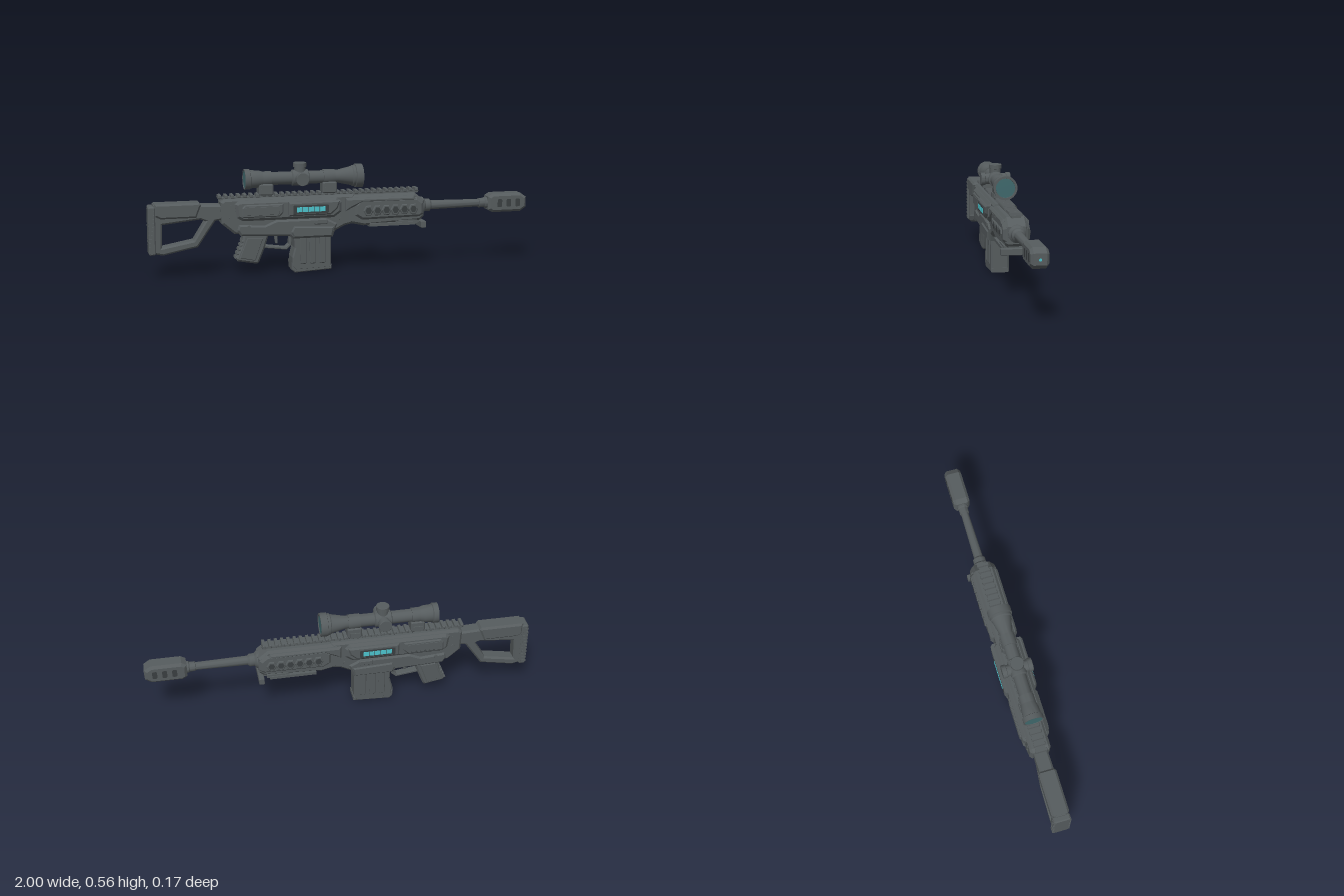
import * as THREE from 'three';
import { toCreasedNormals } from 'three/addons/utils/BufferGeometryUtils.js';

const mat = (name, color) => Object.assign(new THREE.MeshStandardMaterial({ color }), { name });

export function createModel() {
  const model = new THREE.Group();
  model.name = 'rifle';
  const metal = mat('gunmetal', 0x565c5e);
  const dark = mat('dark recess', 0x3a3f41);
  const lens = mat('lens glass', 0x40696d);
  const glow = mat('cyan glow', 0x4cc3cc);

  const add = (name, geo, m = metal) => {
    const mesh = new THREE.Mesh(geo, m);
    mesh.name = name;
    model.add(mesh);
    return mesh;
  };
  const vecs = pts => pts.map(([x, y]) => new THREE.Vector2(x, y));
  // side outline extruded symmetrically to z = +-half with chamfered edges
  const plate = (name, pts, half, b = 0.008, hole = null, m = metal) => {
    const shape = new THREE.Shape(vecs(pts));
    if (hole) shape.holes.push(new THREE.Path(vecs(hole)));
    const geo = new THREE.ExtrudeGeometry(shape, {
      depth: 2 * (half - b), bevelEnabled: b > 0, bevelThickness: b, bevelSize: b, bevelOffset: -b, bevelSegments: 1,
    });
    geo.translate(0, 0, -(half - b));
    return add(name, geo, m);
  };
  const rect = (x0, y0, x1, y1, c = 0) => c
    ? [[x0 + c, y0], [x1 - c, y0], [x1, y0 + c], [x1, y1 - c], [x1 - c, y1], [x0 + c, y1], [x0, y1 - c], [x0, y0 + c]]
    : [[x0, y0], [x1, y0], [x1, y1], [x0, y1]];
  const box = (name, x0, x1, y0, y1, z0, z1, m = metal) => {
    const geo = new THREE.BoxGeometry(x1 - x0, y1 - y0, z1 - z0);
    geo.translate((x0 + x1) / 2, (y0 + y1) / 2, (z0 + z1) / 2);
    return add(name, geo, m);
  };
  // turned part along x from [x, radius] pairs
  const turned = (name, pts, y, m = metal, seg = 28) => {
    const geo = new THREE.LatheGeometry(pts.map(([x, r]) => new THREE.Vector2(r, x)), seg);
    geo.rotateZ(-Math.PI / 2).translate(0, y, 0);
    return add(name, toCreasedNormals(geo, 0.5), m);
  };

  // shoulder stock
  plate('stock', [[-0.975, 0.13], [-0.93, 0.12], [-0.755, 0.155], [-0.665, 0.285], [-0.62, 0.29], [-0.62, 0.365], [-0.735, 0.37],
    [-0.75, 0.38], [-0.975, 0.38]], 0.036, 0.009, [[-0.935, 0.16], [-0.775, 0.19], [-0.715, 0.285], [-0.74, 0.295], [-0.93, 0.275]]);
  plate('cheekRest', [[-0.968, 0.32], [-0.94, 0.305], [-0.76, 0.305], [-0.735, 0.37], [-0.745, 0.382], [-0.968, 0.382]], 0.045, 0.01);
  plate('buttPlate', rect(-1, 0.125, -0.965, 0.37, 0.006), 0.043, 0.006);
  for (let i = 0; i < 11; i++) box('buttRib', -1, -0.972, 0.14 + i * 0.02, 0.15 + i * 0.02, -0.045, 0.045);

  // receiver and lower housing
  plate('receiver', [[-0.635, 0.27], [-0.57, 0.215], [-0.28, 0.2], [-0.07, 0.2], [0.0, 0.235], [0.05, 0.245], [0.05, 0.395],
    [-0.62, 0.395], [-0.64, 0.38]], 0.053, 0.012);
  plate('lowerHousing', [[-0.56, 0.235], [-0.54, 0.205], [-0.29, 0.195], [-0.275, 0.18], [-0.065, 0.18], [-0.04, 0.25],
    [-0.1, 0.28], [-0.36, 0.28], [-0.42, 0.255], [-0.55, 0.265]], 0.062, 0.01);
  plate('magazineWell', [[-0.285, 0.215], [-0.27, 0.185], [-0.07, 0.185], [-0.06, 0.235], [-0.27, 0.245]], 0.069, 0.008);
  plate('upperPanel', [[-0.56, 0.3], [-0.53, 0.282], [-0.06, 0.282], [-0.02, 0.31], [-0.02, 0.36], [-0.045, 0.385],
    [-0.55, 0.385], [-0.57, 0.37]], 0.069, 0.014);
  plate('rearPanel', [[-0.535, 0.3], [-0.345, 0.3], [-0.325, 0.32], [-0.325, 0.365], [-0.52, 0.365], [-0.535, 0.35]], 0.076, 0.006);
  plate('rearPanelInset', rect(-0.52, 0.312, -0.345, 0.353, 0.006), 0.0775, 0.001);
  plate('displayFrame', [[-0.3, 0.3], [-0.08, 0.3], [-0.045, 0.33], [-0.03, 0.372], [-0.3, 0.372]], 0.084, 0.009);
  plate('displayRecess', rect(-0.277, 0.311, -0.093, 0.355, 0.004), 0.0848, 0, null, dark);
  for (let i = 0; i < 5; i++) {
    const x = -0.258 + i * 0.03;
    for (const s of [-1, 1]) box('displayCell', x, x + 0.027, 0.321, 0.346, s * 0.0855 - 0.001, s * 0.0855 + 0.001, glow);
  }
  plate('boltCatch', rect(-0.165, 0.25, -0.095, 0.276, 0.004), 0.068, 0.004);
  for (const [x, y] of [[-0.59, 0.355], [-0.59, 0.3], [-0.5, 0.25], [-0.02, 0.27], [0.02, 0.36]]) {
    const pin = new THREE.CylinderGeometry(0.009, 0.009, 0.128 - (x === -0.5 ? 0 : 0.016), 10);
    pin.rotateX(Math.PI / 2).translate(x, y, 0);
    add('pin', toCreasedNormals(pin, 0.7));
  }

  // handguard with hexagonal vents
  plate('handguard', [[0.01, 0.25], [0.1, 0.23], [0.4, 0.245], [0.425, 0.265], [0.425, 0.35], [0.375, 0.39], [0.01, 0.39]], 0.055, 0.012);
  plate('handguardSide', [[0.05, 0.285], [0.09, 0.26], [0.4, 0.265], [0.42, 0.28], [0.42, 0.34], [0.385, 0.37], [0.08, 0.37],
    [0.05, 0.345]], 0.067, 0.014);
  plate('handguardBrow', [[0.0, 0.31], [0.03, 0.325], [0.09, 0.352], [0.38, 0.352], [0.365, 0.378], [0.0, 0.378]], 0.07, 0.01);
  for (let i = 0; i < 6; i++) {
    const x = 0.12 + i * 0.048;
    const hex = r => Array.from({ length: 6 }, (_, k) => [x + r * Math.cos(k * Math.PI / 3), 0.31 + r * 1.1 * Math.sin(k * Math.PI / 3)]);
    plate('ventRim', hex(0.027), 0.074, 0.004);
    plate('ventFace', hex(0.017), 0.0745, 0, null, dark);
  }

  // folded support under the handguard
  box('supportMount', 0.13, 0.2, 0.222, 0.26, -0.045, 0.045);
  for (const s of [-1, 1]) {
    box('supportLeg', 0.13, 0.37, 0.226, 0.241, s * 0.055 - 0.011, s * 0.055 + 0.011);
    box('supportFoot', 0.27, 0.385, 0.232, 0.25, s * 0.052 - 0.008, s * 0.052 + 0.008);
  }
  box('supportBar', 0.37, 0.41, 0.232, 0.25, -0.04, 0.04);
  plate('supportEnd', rect(0.4, 0.209, 0.428, 0.244, 0.003), 0.08, 0.002);

  // top rail
  box('railBase', -0.64, 0.4, 0.388, 0.4, -0.024, 0.024);
  for (let i = 0; i < 33; i++) {
    const x = -0.65 + i * 0.0322;
    plate('railTooth', [[x, 0.396], [x + 0.019, 0.396], [x + 0.017, 0.413], [x + 0.002, 0.413]], 0.031, 0.003);
  }

  // magazine with ribs and base
  plate('magazine', [[-0.268, 0.24], [-0.262, 0.13], [-0.275, 0.08], [-0.275, 0.03], [-0.26, 0.012], [-0.072, 0.018], [-0.072, 0.24]], 0.048, 0.007);
  for (const x of [-0.235, -0.185, -0.135]) plate('magazineRib', rect(x, 0.045, x + 0.033, 0.19, 0.005), 0.053, 0.004);
  plate('magazineBase', [[-0.28, 0.06], [-0.278, 0.015], [-0.262, 0], [-0.068, 0.01], [-0.068, 0.034], [-0.255, 0.028]], 0.047, 0.005);

  // grip, trigger and guard
  plate('grip', [[-0.52, 0.225], [-0.535, 0.15], [-0.565, 0.085], [-0.555, 0.072], [-0.455, 0.054], [-0.445, 0.062], [-0.415, 0.135],
    [-0.39, 0.215]], 0.038, 0.01);
  plate('gripPanel', [[-0.505, 0.19], [-0.545, 0.09], [-0.465, 0.072], [-0.425, 0.185]], 0.041, 0.003);
  for (let i = 0; i < 5; i++) {
    const x = -0.56 + i * 0.0085, y = 0.085 + i * 0.021;
    plate('gripRib', [[x - 0.008, y], [x + 0.03, y - 0.006], [x + 0.034, y + 0.006], [x - 0.004, y + 0.012]], 0.034, 0.003);
  }
  plate('triggerGuard', [[-0.43, 0.15], [-0.42, 0.132], [-0.3, 0.117], [-0.275, 0.14], [-0.265, 0.21], [-0.43, 0.21]], 0.02, 0.003,
    [[-0.415, 0.146], [-0.305, 0.131], [-0.288, 0.147], [-0.283, 0.2], [-0.4, 0.2]]);
  plate('trigger', [[-0.365, 0.21], [-0.355, 0.15], [-0.343, 0.15], [-0.345, 0.21]], 0.008, 0.002);

  // barrel and muzzle brake
  turned('barrel', [[0.4, 0], [0.4, 0.044], [0.43, 0.044], [0.44, 0.033], [0.465, 0.033], [0.475, 0.024], [0.74, 0.02], [0.742, 0.025],
    [0.77, 0.025], [0.775, 0.03], [0.8, 0.03], [0.8, 0]], 0.315);
  plate('muzzleBrake', [[0.785, 0.28], [0.81, 0.266], [0.965, 0.266], [0.998, 0.288], [0.998, 0.342], [0.965, 0.365], [0.81, 0.365],
    [0.785, 0.35]], 0.043, 0.013);
  for (const x of [0.835, 0.885, 0.935]) {
    plate('brakePort', rect(x, 0.294, x + 0.025, 0.336, 0.005), 0.0436, 0, null, dark);
  }
  turned('muzzleRing', [[0.99, 0], [0.99, 0.019], [1, 0.019], [1, 0.011], [0.9985, 0.011], [0.9985, 0]], 0.313);
  turned('muzzleGlow', [[0.99, 0], [0.99, 0.007], [0.9995, 0.007], [0.9995, 0]], 0.313, glow, 16);

  // scope
  const sy = 0.485;
  turned('scopeTube', [[-0.508, 0.045], [-0.512, 0.048], [-0.512, 0.052], [-0.485, 0.052], [-0.482, 0.046], [-0.44, 0.044], [-0.4, 0.033],
    [-0.03, 0.033], [0.045, 0.05], [0.05, 0.055], [0.062, 0.055], [0.064, 0.061], [0.1, 0.061], [0.1, 0.05], [0.094, 0.049]], sy);
  turned('frontLens', [[0.08, 0.049], [0.097, 0.049], [0.098, 0]], sy, lens);
  turned('rearLens', [[-0.509, 0], [-0.509, 0.046], [-0.495, 0.046]], sy, lens);
  turned('turretHousing', [[-0.27, 0.033], [-0.265, 0.041], [-0.185, 0.041], [-0.18, 0.033]], sy);
  const knob = toCreasedNormals(new THREE.LatheGeometry(vecs([[0.029, 0.02], [0.029, 0.054], [0.034, 0.056], [0.034, 0.076], [0.032, 0.078],
    [0, 0.078]]), 24), 0.5);
  [[0, 'topTurret'], [Math.PI / 2, 'leftTurret'], [-Math.PI / 2, 'rightTurret']].forEach(([a, name]) => {
    const t = add(name, knob);
    t.position.set(-0.225, sy, 0);
    t.rotation.x = a;
  });
  for (const x of [-0.405, -0.075]) {
    plate('scopeMount', rect(x - 0.037, 0.404, x + 0.037, 0.462, 0.006), 0.037, 0.006);
    turned('scopeRing', [[x - 0.03, 0.032], [x - 0.03, 0.038], [x + 0.03, 0.038], [x + 0.03, 0.032]], sy);
    box('mountClamp', x - 0.025, x + 0.025, 0.412, 0.436, -0.042, 0.042);
  }
  return model;
}
